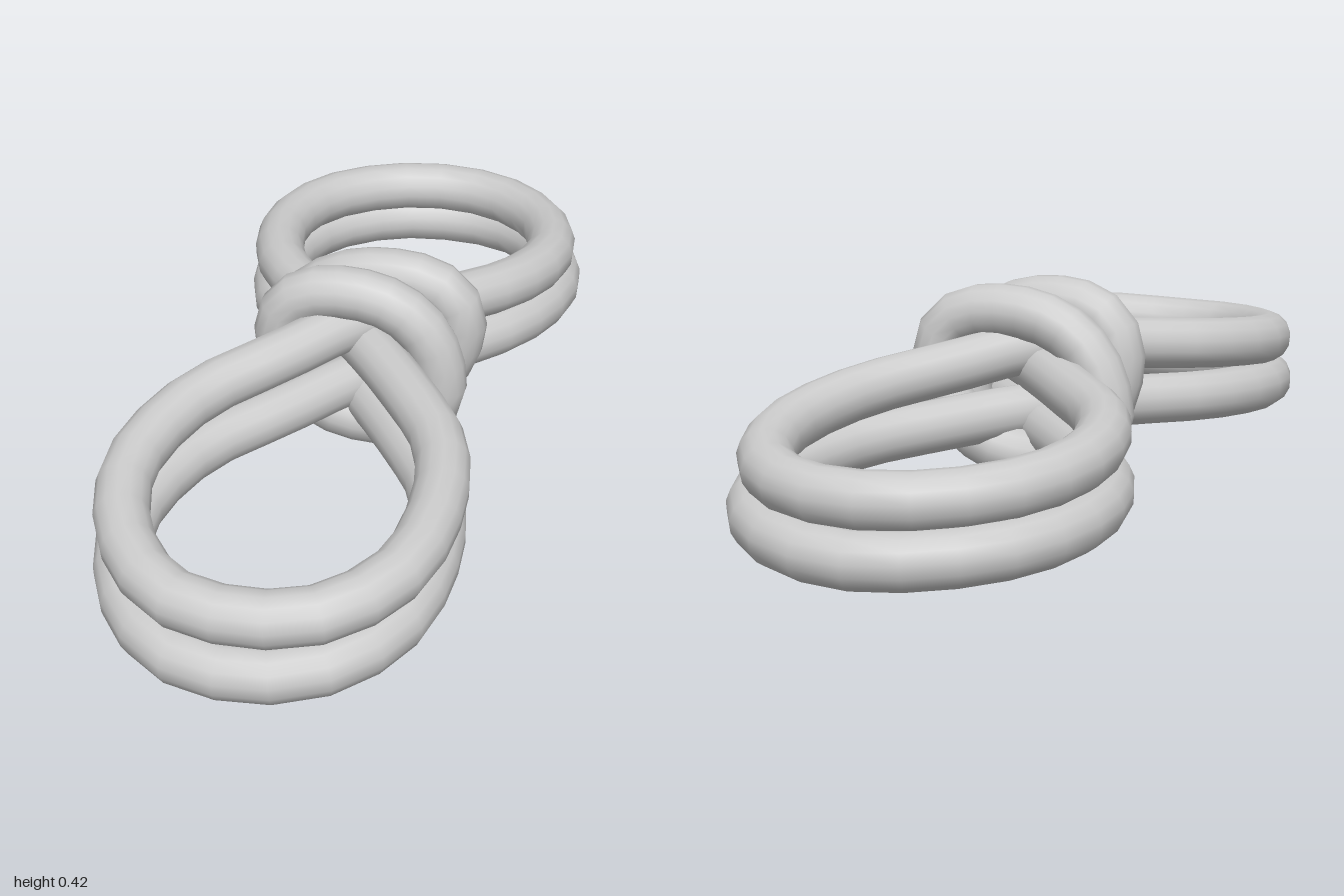
import * as THREE from 'three';

const R = 0.056; // cord radius
const material = new THREE.MeshStandardMaterial({ color: 0xcccccc });

// Plan of the figure eight as [x, z]; the first half starts with the strand crossing on top
const PLAN = [
  [0, -0.02], [0.137, -0.18], [0.275, -0.37], [0.328, -0.58], [0.277, -0.78], [0.155, -0.905],
  [0.01, -0.943], [-0.14, -0.905], [-0.275, -0.78], [-0.328, -0.59], [-0.28, -0.37], [-0.137, -0.18],
  [0, -0.02], [0.135, 0.16], [0.25, 0.35], [0.285, 0.58], [0.25, 0.78], [0.14, 0.91],
  [0, 0.943], [-0.15, 0.91], [-0.275, 0.77], [-0.331, 0.56], [-0.272, 0.33], [-0.132, 0.15],
];

function cord(name, points, segments) {
  const curve = new THREE.CatmullRomCurve3(points, true, 'centripetal');
  const mesh = new THREE.Mesh(new THREE.TubeGeometry(curve, segments, R, 14, true), material);
  mesh.name = name;
  return mesh;
}

// One layer of the figure eight, dropping from the crossing to height end at both ends.
// Each strand has its height at the crossing and how it bends: above 1 sags, below 1 bulges.
function loopLayer(name, over, under, end, frontWidth, backWidth, length) {
  const points = PLAN.map(([x, z], i) => {
    const strand = i < 6 || i > 18 ? over : under;
    const t = Math.max(0, 1 - Math.abs(z) / 0.943);
    const bend = z < 0 ? strand.backBend : strand.frontBend;
    const y = end + (strand.y - end) * Math.pow(t, bend);
    return new THREE.Vector3(x * (z < 0 ? backWidth : frontWidth), y, z * length);
  });
  return cord(name, points, 52);
}

// One turn of the binding: a leaning, slightly squared oval around all strands
function wrap(name, cx, z, rx, ry, cy, lean, sway) {
  const square = (v) => Math.sign(v) * Math.pow(Math.abs(v), 0.87);
  const points = [];
  for (let i = 0; i < 16; i++) {
    const a = (i / 16) * Math.PI * 2;
    const c = square(Math.cos(a)), s = square(Math.sin(a));
    points.push(new THREE.Vector3(cx + rx * c + lean * s, cy + ry * s, z + sway * s));
  }
  return cord(name, points, 22);
}

export function createModel() {
  const group = new THREE.Group();
  group.name = 'tiedCord';
  group.add(
    loopLayer('lowerLoops',
      { y: 0.145, frontBend: 0.85, backBend: 0.77 },
      { y: 0.11, frontBend: 0.45, backBend: 0.7 }, 0.064, 0.995, 1.005, 1),
    loopLayer('upperLoops',
      { y: 0.283, frontBend: 1.05, backBend: 1.35 },
      { y: 0.232, frontBend: 0.6, backBend: 0.9 }, 0.167, 1.005, 0.965, 0.966),
    wrap('frontWrap', 0.008, 0.022, 0.172, 0.155, 0.214, -0.03, 0.007),
    wrap('backWrap', 0.01, -0.09, 0.186, 0.154, 0.21, 0.045, 0.008),
  );
  return group;
}
